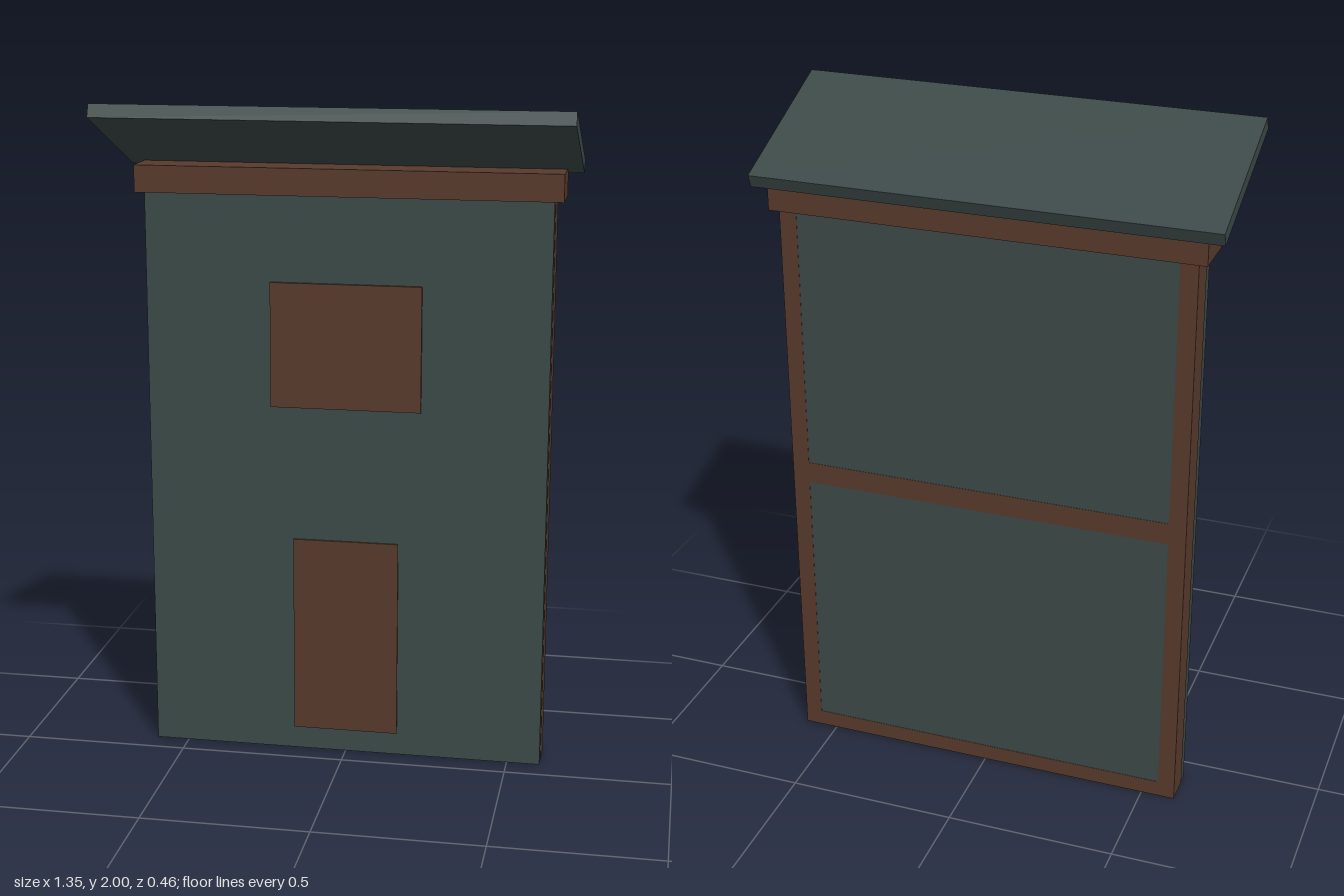
import * as THREE from 'three';

const wallMat = new THREE.MeshStandardMaterial({ color: 0x3c4a48 });
const woodMat = new THREE.MeshStandardMaterial({ color: 0x583a2c });

// Box given by its extents along each axis
function box(name, mat, [x0, x1], [y0, y1], [z0, z1]) {
  const mesh = new THREE.Mesh(new THREE.BoxGeometry(x1 - x0, y1 - y0, z1 - z0), mat);
  mesh.position.set((x0 + x1) / 2, (y0 + y1) / 2, (z0 + z1) / 2);
  mesh.name = name;
  return mesh;
}

export function createModel() {
  const model = new THREE.Group();
  model.name = 'narrowFacade';

  // Wall panel with door and window shutter on its front
  model.add(box('wall', wallMat, [-0.6, 0.6], [0, 1.73], [-0.19, -0.073]));
  model.add(box('door', woodMat, [-0.16, 0.16], [0.07, 0.68], [-0.09, -0.067]));
  model.add(box('windowShutter', woodMat, [-0.225, 0.225], [1.09, 1.465], [-0.09, -0.063]));

  // Timber frame, almost flush with the back and sides of the wall
  const frame = new THREE.Group();
  frame.name = 'timberFrame';
  const depth = [-0.191, -0.105];
  for (const s of [-1, 1]) {
    const post = box('post', woodMat, [-0.0255, 0.0255], [0.001, 1.73], depth);
    post.position.x = s * 0.5755;
    frame.add(post);
  }
  frame.add(box('sillBeam', woodMat, [-0.56, 0.56], [0.001, 0.05], depth));
  frame.add(box('middleBeam', woodMat, [-0.56, 0.56], [0.87, 0.935], depth));

  // Diagonal brace inside the wall
  const brace = box('brace', woodMat, [-0.025, 0.025], [-0.44, 0.44], [-0.16, -0.08]);
  brace.position.set(0.29, 0.46, -0.12);
  brace.rotation.z = -0.53;
  frame.add(brace);
  model.add(frame);

  // Top beam overhanging the wall
  model.add(box('topBeam', woodMat, [-0.627, 0.627], [1.72, 1.8], [-0.205, -0.06]));

  // Sloping roof slab, high at the front
  const roof = box('roof', wallMat, [-0.673, 0.673], [-0.02, 0.02], [-0.2375, 0.2375]);
  roof.position.y = 1.893;
  roof.rotation.x = -0.382;
  model.add(roof);

  return model;
}
